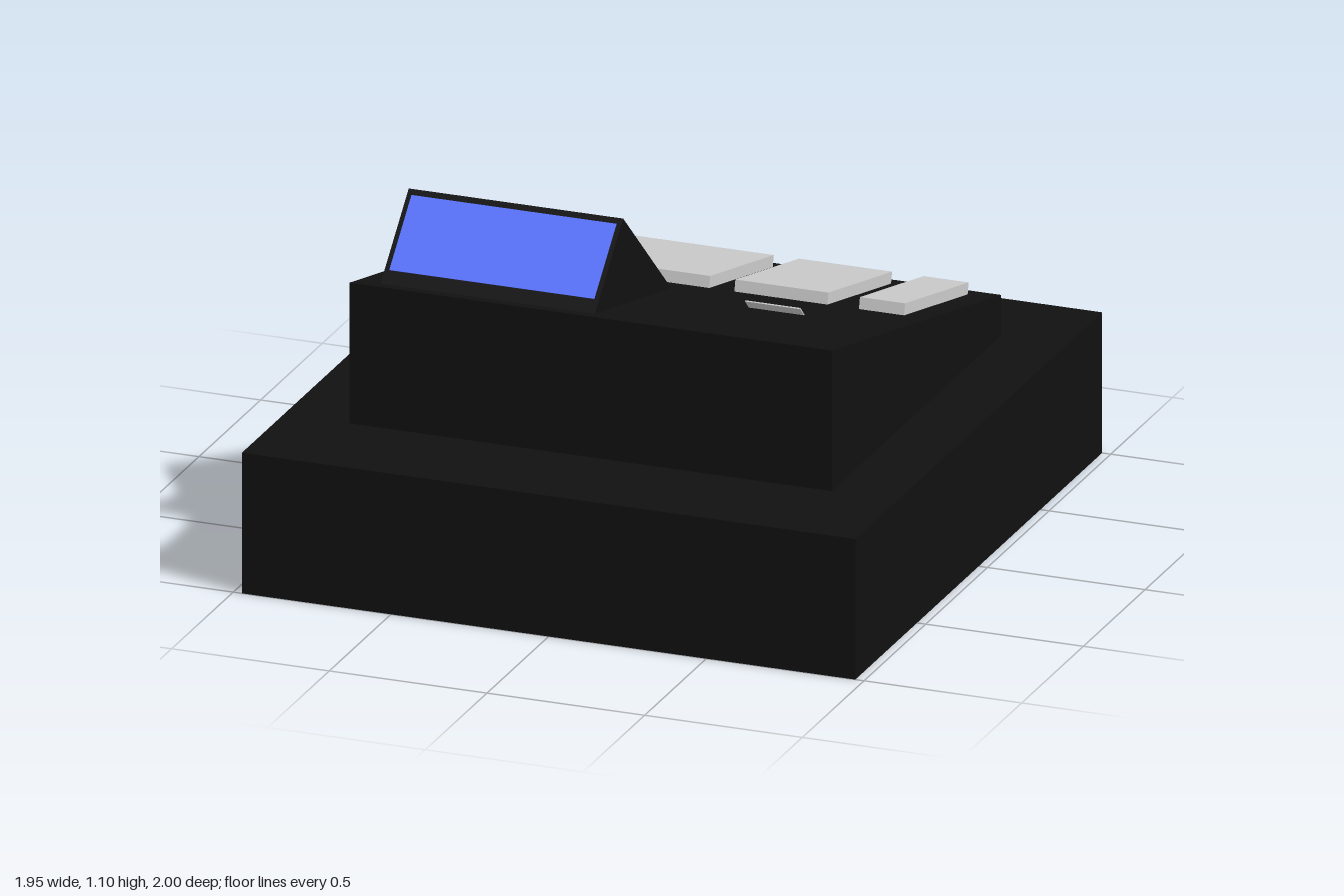
import * as THREE from 'three';

const black = new THREE.MeshStandardMaterial({ color: 0x111111 });
const blue = new THREE.MeshStandardMaterial({ color: 0x5a74ff });
const grey = new THREE.MeshStandardMaterial({ color: 0xcccccc });

// Height of the sloping body top at depth z
const topY = (z) => 0.575 + 0.23 * (z + 0.71);

export function createModel() {
  const model = new THREE.Group();
  model.name = 'cashRegister';

  const add = (name, geometry, material) => {
    const mesh = new THREE.Mesh(geometry, material);
    mesh.name = name;
    model.add(mesh);
    return mesh;
  };

  // Solid with a side profile of [z, y] points, running from x0 to x1
  const prism = (name, x0, x1, points) => {
    const shape = new THREE.Shape(points.map(([z, y]) => new THREE.Vector2(-z, y)));
    const geometry = new THREE.ExtrudeGeometry(shape, { depth: x1 - x0, bevelEnabled: false });
    add(name, geometry.rotateY(Math.PI / 2).translate(x0, 0, 0), black);
  };

  // Flat plate lying on the side-view line from p to q ([z, y], p further back)
  const plate = (name, x0, x1, p, q, thickness, material) => {
    const dz = q[0] - p[0], dy = q[1] - p[1];
    const geometry = new THREE.BoxGeometry(x1 - x0, thickness, Math.hypot(dz, dy));
    geometry.translate(0, thickness / 2, 0);
    const mesh = add(name, geometry, material);
    mesh.position.set((x0 + x1) / 2, (p[1] + q[1]) / 2, (p[0] + q[0]) / 2);
    mesh.rotation.x = -Math.atan2(dy, dz);
  };

  // Cash drawer base
  add('drawerBase', new THREE.BoxGeometry(1.945, 0.445, 2).translate(0, 0.2225, 0), black);

  // Wedge-shaped body
  prism('body', -0.765, 0.765, [[0.66, 0.445], [0.66, topY(0.66)], [-0.71, topY(-0.71)], [-0.71, 0.445]]);

  // Two-sided display housing, sunk slightly into the body
  prism('displayHousing', -0.69, -0.01, [[0.6, 0.875], [0.37, 1.095], [-0.02, 0.735], [0, 0.7], [0.58, 0.84]]);
  plate('customerScreen', -0.675, -0.025, [0.385, 1.081], [0.565, 0.908], 0.002, blue);
  plate('operatorScreen', -0.675, -0.025, [0, 0.753], [0.34, 1.067], 0.002, blue);

  // Key blocks on the slope
  for (const [x0, x1] of [[-0.695, 0.07], [0.15, 0.445], [0.545, 0.688]]) {
    plate('keyBlock', x0, x1, [-0.638, topY(-0.638)], [-0.122, topY(-0.122)], 0.036, grey);
  }

  // Receipt paper sticking out of the body
  plate('receipt', 0.29, 0.465, [0.118, 0.764], [0.15, 0.796], 0.004, grey);

  return model;
}
